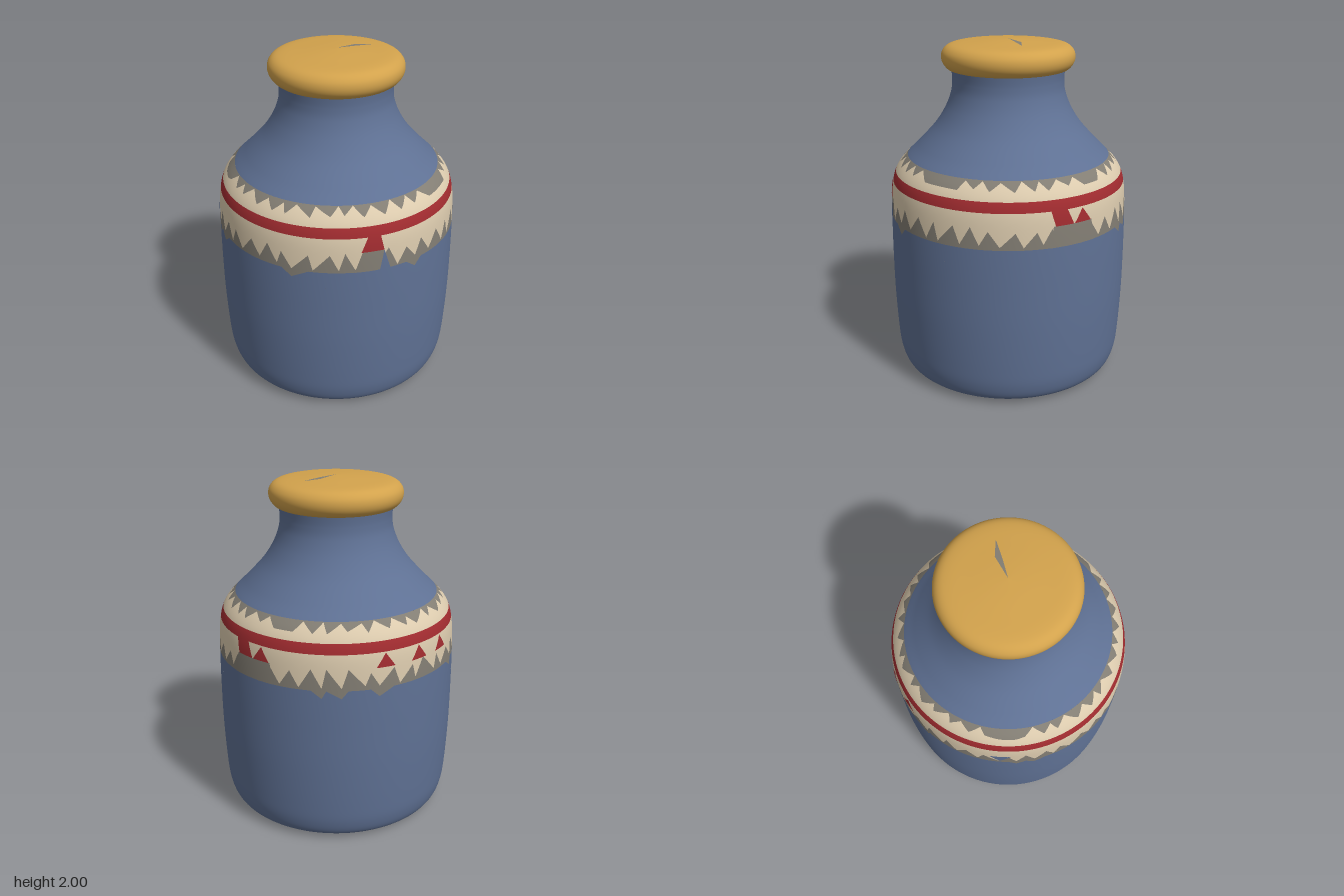
import * as THREE from 'three';

const DEG = Math.PI / 180;
const mat = (name, color, side = THREE.FrontSide) => {
  const m = new THREE.MeshStandardMaterial({ color, side });
  m.name = name;
  return m;
};

// Outer profile of the pot, as radius and height
const V = (x, y) => new THREE.Vector2(x, y);
const wall = new THREE.SplineCurve([
  V(0.6, 0.008), V(0.655, 0.04), V(0.685, 0.12), V(0.698, 0.25), V(0.708, 0.5), V(0.709, 0.75), V(0.706, 0.95),
  V(0.7, 1.1), V(0.69, 1.18), V(0.672, 1.24), V(0.64, 1.29), V(0.597, 1.335), V(0.53, 1.4), V(0.43, 1.51),
  V(0.367, 1.61), V(0.333, 1.7), V(0.325, 1.77), V(0.33, 1.84),
]).getPoints(300);

function radius(y) {
  let i = 1;
  while (i < wall.length - 1 && wall[i].y < y) i++;
  const a = wall[i - 1], b = wall[i];
  return a.x + (b.x - a.x) * (y - a.y) / (b.y - a.y);
}

// Patch of the pot wall between a lower and an upper edge given per column
function patch(angles, low, high, lift = 0, rows = 4, sub = 3) {
  const pos = [], nor = [], idx = [];
  const cols = (angles.length - 1) * sub;
  for (let c = 0; c <= cols; c++) {
    const i = Math.min(Math.floor(c / sub), angles.length - 2), t = c / sub - i;
    const mix = (e) => e[i] + (e[i + 1] - e[i]) * t;
    const a = mix(angles), lo = mix(low), hi = mix(high);
    for (let r = 0; r <= rows; r++) {
      const y = lo + (hi - lo) * r / rows, R = radius(y) + lift;
      const slope = (radius(y + 0.01) - radius(y - 0.01)) / 0.02, l = Math.hypot(1, slope);
      pos.push(R * Math.sin(a), y, R * Math.cos(a));
      nor.push(Math.sin(a) / l, -slope / l, Math.cos(a) / l);
      if (c < cols && r < rows) {
        const p = c * (rows + 1) + r, q = p + rows + 1;
        idx.push(p, q, q + 1, p, q + 1, p + 1);
      }
    }
  }
  const g = new THREE.BufferGeometry();
  g.setAttribute('position', new THREE.Float32BufferAttribute(pos, 3));
  g.setAttribute('normal', new THREE.Float32BufferAttribute(nor, 3));
  g.setIndex(idx);
  return g;
}

export function createModel() {
  const group = new THREE.Group();
  const blue = mat('blue glaze', 0x5f7194);
  const cream = mat('cream glaze', 0xdccbae);
  const grey = mat('bare grey', 0x837e74, THREE.DoubleSide);
  const red = mat('red glaze', 0xa22c30);
  const gold = mat('gold lid', 0xd2a24c);
  const add = (name, geo, m) => {
    const mesh = new THREE.Mesh(geo, m);
    mesh.name = name;
    group.add(mesh);
  };
  let seed = 7;
  const rand = () => (seed = (seed * 16807) % 2147483647) / 2147483647;

  // Body below the painted band, closed underneath
  const lower = wall.filter((p) => p.y < 0.88);
  add('body', new THREE.LatheGeometry([V(0, 0), V(0.3, 0.001), V(0.56, 0.003), ...lower, V(radius(0.88), 0.88)], 144), blue);
  // Shoulder and neck
  add('neck', new THREE.LatheGeometry([V(radius(1.335), 1.335), ...wall.filter((p) => p.y > 1.336)], 144), blue);

  // Uneven teeth above and below the red stripe
  const N = 76, angles = [], base = [], dip = [], tooth = [], crown = [];
  for (let i = 0; i <= N; i++) {
    const even = i % 2 === 0, deg = i / N * 360;
    angles.push((deg + (i % N ? (rand() - 0.5) * 3.6 : 0)) * DEG);
    base.push(0.88);
    dip.push(even && rand() < 0.22 ? 0.935 : 0.98);
    tooth.push(even ? 0.985 + rand() * 0.02 : 1.075 + rand() * 0.03);
    const worn = (deg > 13 && deg < 29) || (deg > 99 && deg < 110) || (deg > 236 && deg < 247);
    crown.push(worn ? 1.283 : even ? 1.335 - rand() * 0.012 : 1.28 + rand() * 0.015);
  }
  for (const e of [dip, tooth, crown]) e[N] = e[0];
  const level = (y) => angles.map(() => y);
  add('bodyUpperEdge', patch(angles, base, dip), blue);
  add('lowerGreyTeeth', patch(angles, dip, tooth), grey);
  add('lowerCreamBand', patch(angles, tooth, level(1.183)), cream);
  add('redStripe', patch(angles, level(1.183), level(1.24)), red);
  add('upperCreamBand', patch(angles, level(1.24), crown), cream);
  add('upperGreyTeeth', patch(angles, crown, level(1.335)), grey);

  // Worn patches and red drips: angles in degrees with lower and upper edge heights
  const spot = (name, m, degs, lo, hi, lift = 0.003) =>
    add(name, patch(degs.map((d) => d * DEG), lo, hi, lift), m);
  spot('frontWornPatch', grey, [-30, -26.5, -16.5, -15], [0.98, 0.98, 0.98, 0.98], [0.981, 1.1, 1.1, 0.981], 0.002);
  spot('sideWornPatch', grey, [78, 80, 100, 101.5], [0.98, 0.98, 0.98, 0.98], [0.981, 1.1, 1.1, 0.981], 0.002);
  spot('frontRedDrip', red, [-27, -24, -18, -16.5], [1.1, 1.1, 1.1, 1.1], [1.101, 1.185, 1.185, 1.101]);
  spot('sideRedDrip', red, [79, 81, 87, 90], [1.184, 1.1, 1.1, 1.1], [1.185, 1.185, 1.185, 1.101]);
  for (const d of [95, 153, 171, 187])
    spot('redTooth', red, [d - 4.5, d, d + 4.5], [1.1, 1.1, 1.1], [1.101, 1.178, 1.101]);
  spot('frontBlueTooth', blue, [-18.5, -16.5, -13.5], [0.98, 0.975, 0.975], [0.981, 1.1, 0.981]);
  spot('backBlueTooth', blue, [234, 239, 244], [1.099, 1.015, 1.099], [1.1, 1.1, 1.1]);

  // Rounded lid with a gentle dome
  const rim = new THREE.SplineCurve([
    V(0.325, 1.828), V(0.352, 1.836), V(0.377, 1.865), V(0.386, 1.9), V(0.378, 1.935), V(0.35, 1.963), V(0.3, 1.977),
    V(0.2, 1.986), V(0.1, 1.993), V(0, 1.997),
  ]).getPoints(50);
  add('lid', new THREE.LatheGeometry([V(0.3, 1.828), ...rim], 96), gold);

  // Chip on the lid
  const chip = new THREE.BufferGeometry();
  chip.setAttribute('position', new THREE.Float32BufferAttribute(
    [0, 2, 0, 0.11, 1.996, 0.025, 0.225, 1.988, 0.045, 0.14, 1.994, -0.004], 3));
  chip.setIndex([0, 1, 3, 1, 2, 3]);
  chip.computeVertexNormals();
  add('lidChip', chip, grey);
  return group;
}
